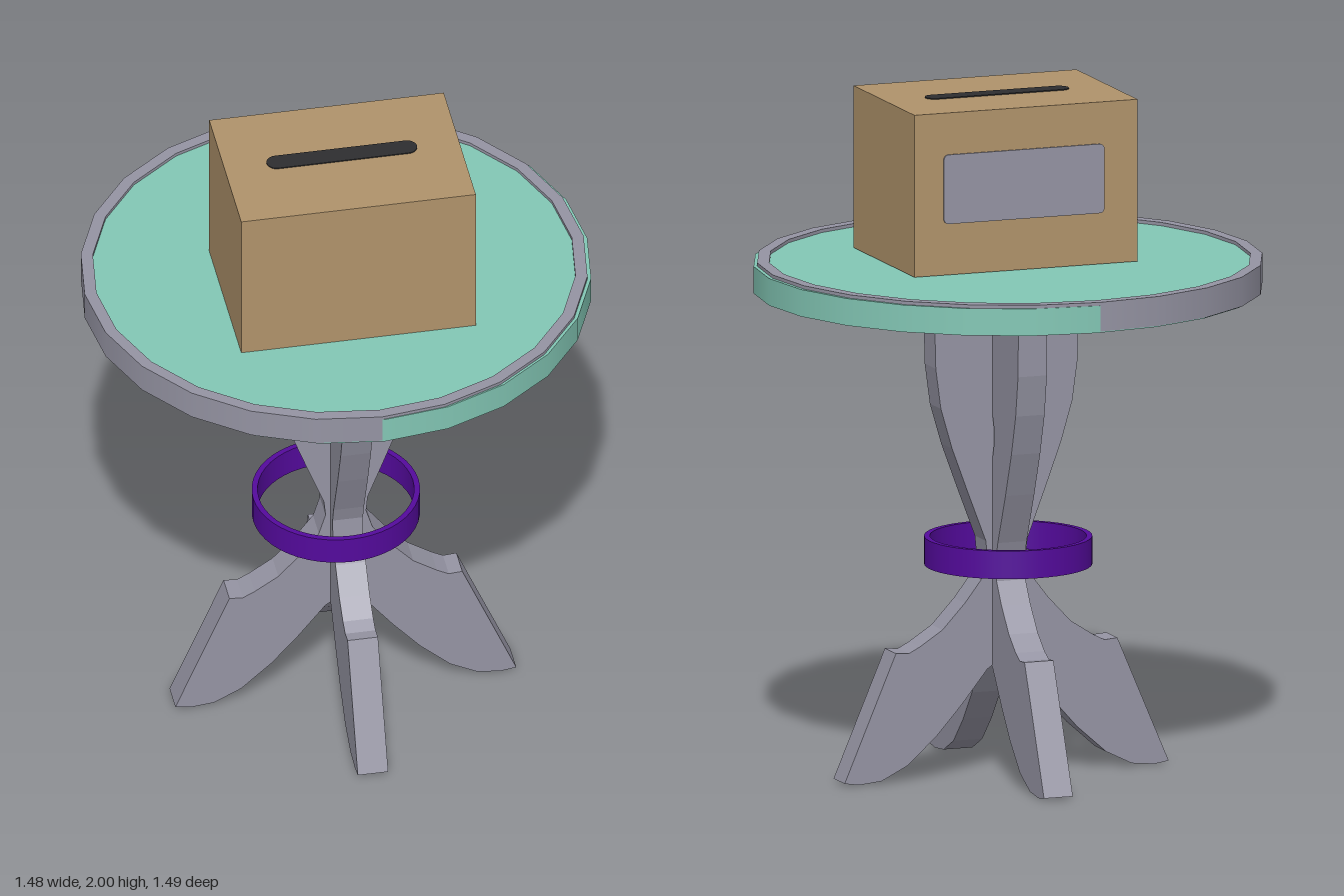
import * as THREE from 'three';
import { mergeGeometries } from 'three/addons/utils/BufferGeometryUtils.js';

const mat = (name, color, side = THREE.FrontSide) => {
  const m = new THREE.MeshStandardMaterial({ color, side });
  m.name = name;
  return m;
};

// Square-section ring with crisp edges and smooth walls
function ringGeometry(rOut, rIn, y0, y1, segments) {
  const c = [[rOut, y0], [rOut, y1], [rIn, y1], [rIn, y0]].map(p => new THREE.Vector2(...p));
  return mergeGeometries(c.map((p, i) => new THREE.LatheGeometry([p, c[(i + 1) % 4]], segments)));
}

// Thin plate with rounded corners, facing +z
function plateGeometry(w, h, r, depth) {
  const s = new THREE.Shape(), x = w / 2, y = h / 2;
  s.absarc(x - r, y - r, r, 0, Math.PI / 2);
  s.absarc(-x + r, y - r, r, Math.PI / 2, Math.PI);
  s.absarc(-x + r, -y + r, r, Math.PI, Math.PI * 1.5);
  s.absarc(x - r, -y + r, r, Math.PI * 1.5, Math.PI * 2);
  s.closePath();
  return new THREE.ExtrudeGeometry(s, { depth, bevelEnabled: false, curveSegments: 6 });
}

// Upright plank with mirrored S-shaped edges, making two opposite legs
function legGeometry(half, thickness, slit) {
  const mirrored = half.slice().reverse().map(([x, y]) => [-x, y]);
  const apex = [0, 0.36];
  const s = new THREE.Shape([...half, apex, ...mirrored].map(p => new THREE.Vector2(...p)));
  if (slit) {
    const hole = new THREE.Path();
    hole.moveTo(0, 0.85);
    hole.quadraticCurveTo(0.12, 1.02, 0, 1.15);
    hole.quadraticCurveTo(-0.12, 1.02, 0, 0.85);
    s.holes.push(hole);
  }
  const g = new THREE.ExtrudeGeometry(s, { depth: thickness, bevelEnabled: false, curveSegments: 5 });
  return g.translate(0, 0, -thickness / 2);
}

export function createModel() {
  const model = new THREE.Group();
  model.name = 'pedestalTableWithBox';
  model.rotation.y = -Math.PI / 6;

  const grey = mat('greyWood', 0x9594a3);
  const teal = mat('tealTop', 0x83c7b5);
  const card = mat('cardboard', 0xb0936b);
  const dark = mat('darkSlot', 0x2e2e30);
  const purple = mat('purpleBand', 0x540a9c);

  const add = (name, geometry, material, x = 0, y = 0, z = 0) => {
    const m = new THREE.Mesh(geometry, material);
    m.name = name;
    m.position.set(x, y, z);
    model.add(m);
    return m;
  };

  // Table top and its raised rim
  add('tableTop', new THREE.CylinderGeometry(0.74, 0.74, 0.08, 24), teal, 0, 1.475, -0.005);
  add('tableRim', ringGeometry(0.739, 0.704, 1.438, 1.525, 24), grey, 0, 0, 0.005);

  // Two crossing planks form four legs
  const sideLeg = [
    [0.24, 1.436], [0.257, 1.35], [0.254, 1.22], [0.235, 1.1], [0.2, 0.98], [0.152, 0.85],
    [0.09, 0.7], [0.075, 0.65], [0.08, 0.585], [0.12, 0.52], [0.18, 0.445], [0.235, 0.4],
    [0.27, 0.382], [0.307, 0.385], [0.465, 0.01],
    [0.42, 0.003], [0.35, 0.01], [0.27, 0.05], [0.19, 0.13], [0.12, 0.22], [0.05, 0.32]];
  const frontLeg = [
    [0.21, 1.436], [0.224, 1.35], [0.221, 1.22], [0.205, 1.1], [0.17, 0.98], [0.122, 0.85],
    [0.065, 0.7], [0.06, 0.65], [0.08, 0.585], [0.13, 0.52], [0.2, 0.445], [0.27, 0.4],
    [0.305, 0.382], [0.345, 0.385], [0.505, 0.01],
    [0.46, 0.003], [0.39, 0.01], [0.31, 0.05], [0.22, 0.13], [0.14, 0.22], [0.06, 0.32]];
  add('sideLegs', legGeometry(sideLeg, 0.09, true), grey, 0.005, 0, -0.02);
  add('frontAndBackLegs', legGeometry(frontLeg, 0.09, false), grey, 0.005, 0, -0.02)
    .rotation.y = Math.PI / 2;

  // Band around the waist
  add('waistBand', ringGeometry(0.245, 0.228, 0.62, 0.703, 48), purple);

  // Box with a slot on top and a label on its long side
  add('box', new THREE.BoxGeometry(0.495, 0.48, 0.695), card, 0.103, 1.757, 0);
  add('boxSlot', plateGeometry(0.06, 0.445, 0.0299, 0.004).rotateX(-Math.PI / 2), dark, 0.092, 1.996, 0);
  add('boxLabel', plateGeometry(0.5, 0.205, 0.015, 0.006).rotateY(-Math.PI / 2), grey,
    0.103 - 0.2465, 1.771, -0.007);

  return model;
}
